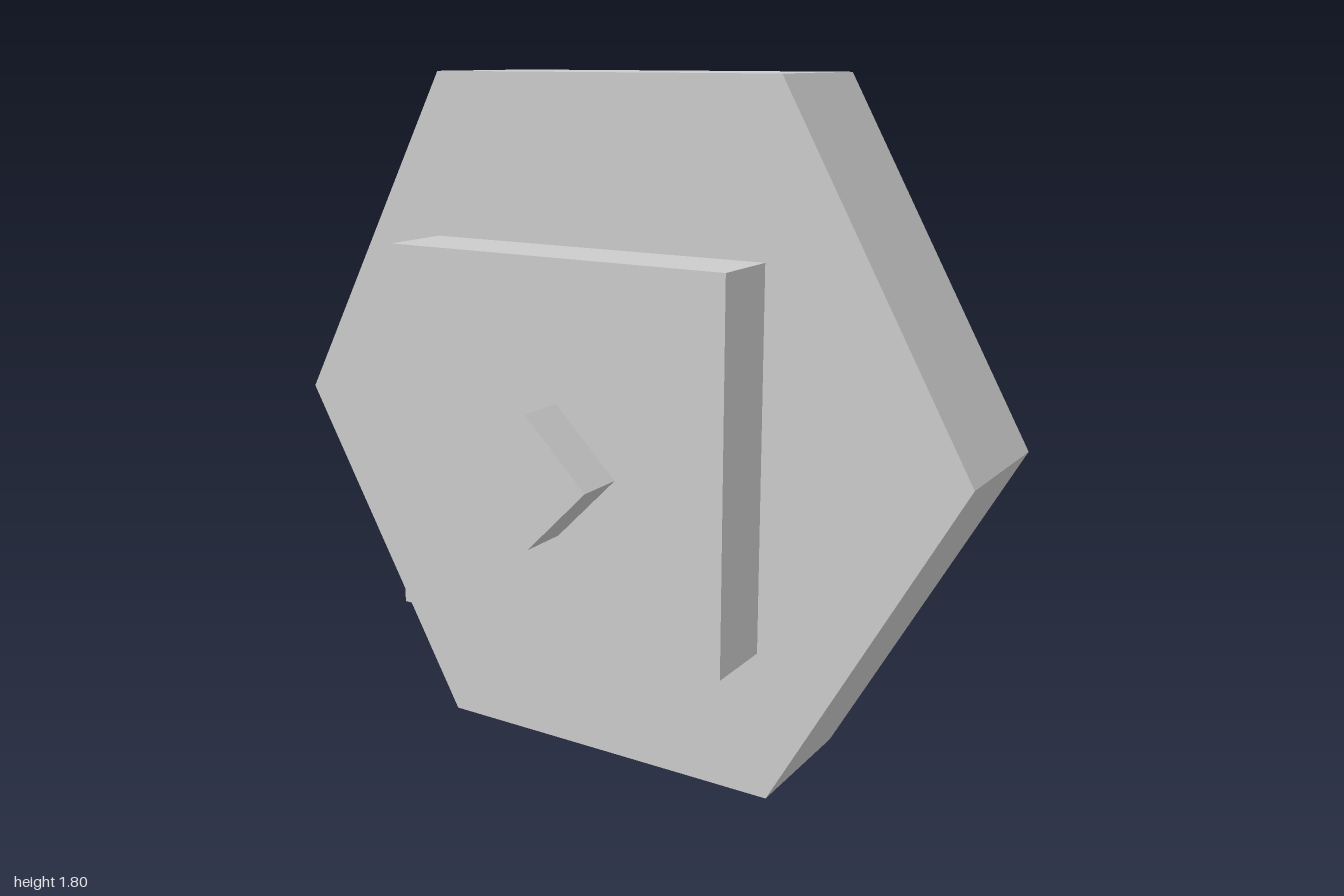
import * as THREE from 'three';

export function createModel() {
  const group = new THREE.Group();
  const material = new THREE.MeshStandardMaterial({ color: 0xcccccc, flatShading: true });

  const add = (name, geometry, x, y) => {
    const mesh = new THREE.Mesh(geometry, material);
    mesh.name = name;
    mesh.position.set(x, y, 0);
    group.add(mesh);
    return mesh;
  };

  // Hexagonal slab standing on a flat side, corners pointing left and right
  const hexagon = new THREE.CylinderGeometry(1, 1, 0.387, 6);
  hexagon.rotateY(Math.PI / 6).rotateX(Math.PI / 2);
  add('hexagonBody', hexagon, 0, Math.sqrt(3) / 2 + 0.034);
  hexagon.scale(1, 0.9 / (Math.sqrt(3) / 2), 1);
  group.children[0].position.y = 0.9;

  // Square plate running through the slab, slightly off centre
  add('squarePlate', new THREE.BoxGeometry(0.98, 0.98, 0.77), -0.023, 0.88);

  // Square peg turned on its corner, showing on both faces
  const pegSide = 0.17 * Math.SQRT2;
  add('diamondPeg', new THREE.BoxGeometry(pegSide, pegSide, 1.03), 0, 0.841).rotation.z = Math.PI / 4;

  return group;
}
